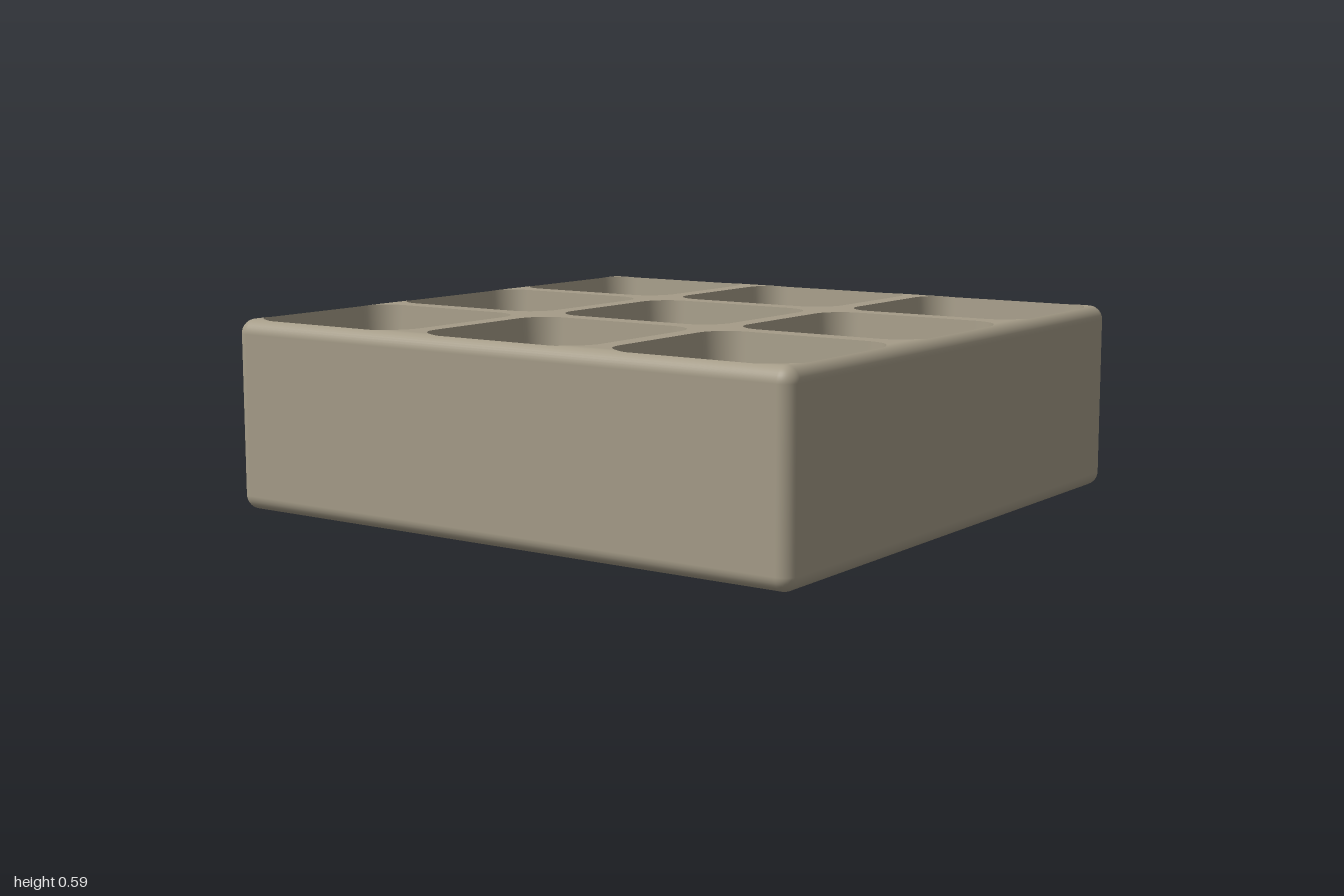
import * as THREE from 'three';

const W = 1, D = 0.96, H = 0.59;      // half width, half depth, height
const R = 0.045;                      // outer edge rounding
const LIP = 0.02;                     // inset where the shell meets the top web
const FLOOR = 0.1;                    // pocket floor height
const N = 10;                         // segments per corner

// Rounded rectangle loop; corners flagged square are left sharp.
function ring(x0, x1, z0, z1, r, y, square = () => false) {
  const pts = [];
  [[1, 1], [-1, 1], [-1, -1], [1, -1]].forEach(([sx, sz], q) => {
    const cx = sx > 0 ? x1 - r : x0 + r, cz = sz > 0 ? z1 - r : z0 + r;
    for (let i = 0; i <= N; i++) {
      const a = (q + i / N) * Math.PI / 2, c = Math.cos(a), s = Math.sin(a);
      const k = square(sx, sz) ? r / Math.max(Math.abs(c), Math.abs(s)) : r;
      pts.push({ p: new THREE.Vector3(cx + c * k, y, cz + s * k), c, s });
    }
  });
  return pts;
}

// Skin a list of equal loops; normalOf gives each point's normal.
function loft(rings, normalOf) {
  const pos = [], nor = [], idx = [], m = rings[0].length;
  rings.forEach((loop, k) => loop.forEach((v, j) => {
    pos.push(...v.p.toArray());
    nor.push(...normalOf(v).normalize().toArray());
    if (k === rings.length - 1) return;
    const a = k * m + j, b = k * m + (j + 1) % m;
    idx.push(a, a + m, b, b, a + m, b + m);
  }));
  const g = new THREE.BufferGeometry();
  g.setAttribute('position', new THREE.Float32BufferAttribute(pos, 3));
  g.setAttribute('normal', new THREE.Float32BufferAttribute(nor, 3));
  g.setIndex(idx);
  return g;
}

// Outward direction of the rounded block at a surface point
const core = new THREE.Box3(
  new THREE.Vector3(-W + R, R, -D + R), new THREE.Vector3(W - R, H - R, D - R));
const blockNormal = ({ p }) => p.clone().sub(core.clampPoint(p, new THREE.Vector3()));

// Height of the rounded top over (x, z)
function topHeight({ x, z }) {
  const d = Math.hypot(Math.max(Math.abs(x) - W + R, 0), Math.max(Math.abs(z) - D + R, 0));
  return H - R + Math.sqrt(Math.max(R * R - d * d, 0));
}

export function createModel() {
  const group = new THREE.Group();
  const material = new THREE.MeshStandardMaterial({ color: 0xa59c88 });
  const add = (name, geometry, parent) => {
    const mesh = new THREE.Mesh(geometry, material);
    mesh.name = name;
    parent.add(mesh);
  };

  // Outer shell: underside, rounded lower edge, walls, rounded upper edge
  const shellRing = (inset, y) => ring(-W + inset, W - inset, -D + inset, D - inset, R - inset, y);
  const shell = [ring(0, 0, 0, 0, 0, 0)];
  for (let i = 0; i <= 8; i++) {
    const a = i / 8 * Math.PI / 2;
    shell.push(shellRing(R * (1 - Math.sin(a)), R * (1 - Math.cos(a))));
  }
  const end = Math.acos((R - LIP) / R);
  for (let i = 0; i <= 6; i++) {
    const a = i / 6 * end;
    shell.push(shellRing(R * (1 - Math.cos(a)), H - R + R * Math.sin(a)));
  }
  add('outerShell', loft(shell, blockNormal), group);

  // Nine compartments, each with its share of the top web
  const edgeX = [-W + LIP, -0.333, 0.333, W - LIP];
  const edgeZ = [-D + LIP, -0.32, 0.32, D - LIP];
  for (let ix = 0; ix < 3; ix++) for (let iz = 0; iz < 3; iz++) {
    const cell = new THREE.Group();
    cell.name = 'compartment';
    group.add(cell);
    const cx = (ix - 1) * 0.667, cz = (iz - 1) * 0.641;
    const pocket = (hw, hd, r, y) => ring(cx - hw, cx + hw, cz - hd, cz + hd, r, y);

    const rim = pocket(0.303, 0.288, 0.1, H);
    const foot = pocket(0.26, 0.245, 0.062, FLOOR);
    const border = ring(edgeX[ix], edgeX[ix + 1], edgeZ[iz], edgeZ[iz + 1], R - LIP, H,
      (sx, sz) => !(ix - 1 === sx && iz - 1 === sz));

    // Web follows the rounded top from the cell border to the pocket rim
    const web = [];
    for (let i = 0; i <= 6; i++) {
      web.push(border.map((b, j) => {
        const p = b.p.clone().lerp(rim[j].p, i / 6);
        p.y = topHeight(p);
        return { ...rim[j], p };
      }));
    }
    add('topWeb', loft(web, blockNormal), cell);

    // Tapered pocket walls and flat floor
    add('pocketWalls', loft([web[6], foot],
      ({ c, s }) => new THREE.Vector3(-c, 0.088, -s)), cell);
    add('pocketFloor', loft([foot, pocket(0, 0, 0, FLOOR)],
      () => new THREE.Vector3(0, 1, 0)), cell);
  }
  return group;
}
